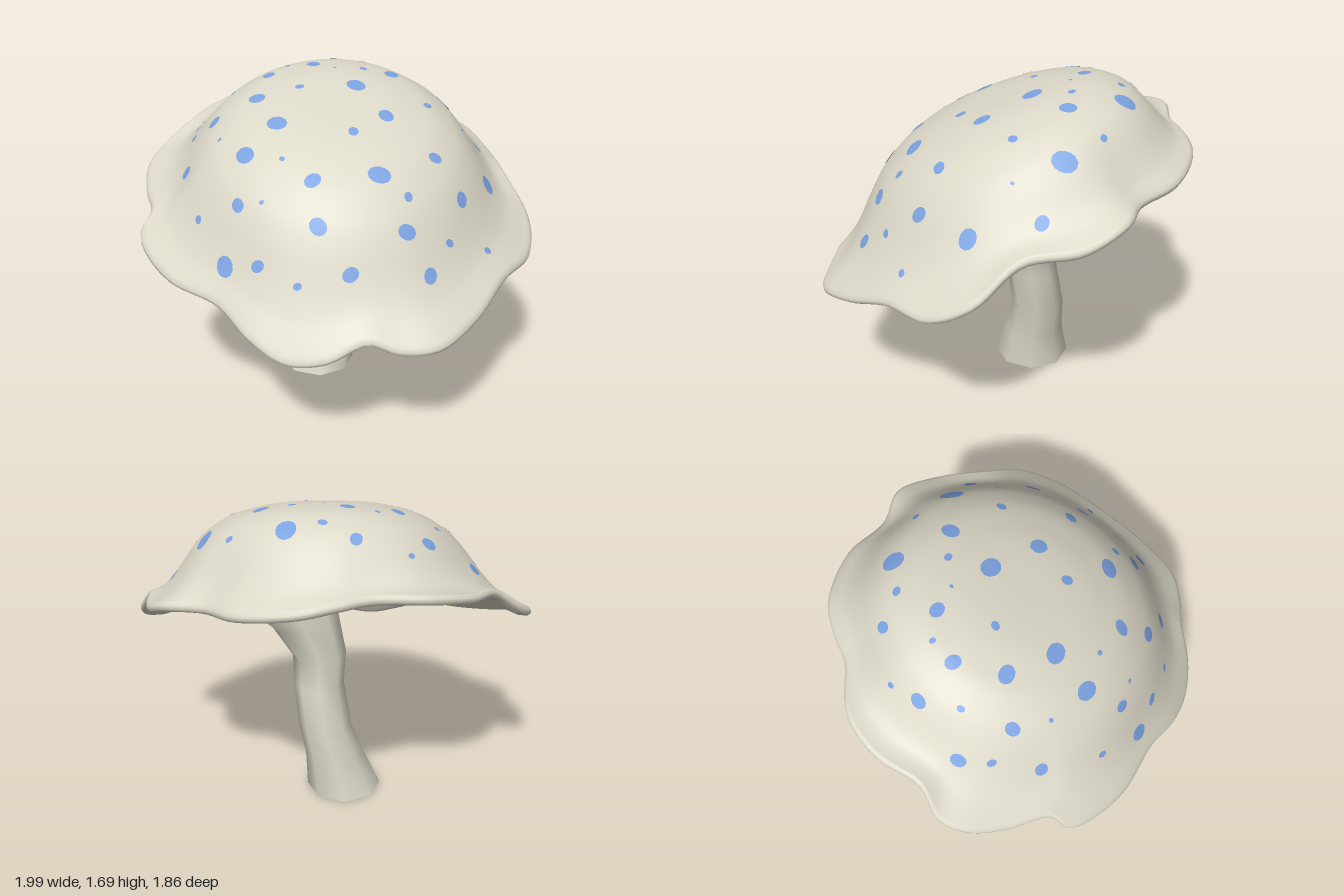
import * as THREE from 'three';

const V = (x, y, z) => new THREE.Vector3(x, y, z);
const cream = new THREE.MeshStandardMaterial({ color: 0xdcd8c8, side: THREE.DoubleSide });
cream.name = 'cream';
const blue = new THREE.MeshStandardMaterial({ color: 0x7ba2e0, side: THREE.DoubleSide });
blue.name = 'spot blue';

// Skin a list of closed rings (arrays of Vector3) with smooth normals
function loft(rings) {
  const n = rings[0].length, idx = [];
  for (let j = 0; j < rings.length - 1; j++)
    for (let i = 0; i < n; i++) {
      const a = j * n + i, b = j * n + (i + 1) % n;
      idx.push(a, b, a + n, b, b + n, a + n);
    }
  const g = new THREE.BufferGeometry().setFromPoints(rings.flat());
  g.setIndex(idx);
  g.computeVertexNormals();
  return g;
}

// Scalloped lower edge of the cap: x, y, z
const RIM = [
  [.98, .74, .12], [.95, .68, .38], [.83, .68, .52], [.715, .72, .6], [.59, .64, .75],
  [.43, .62, .85], [.245, .69, .89], [.03, .79, .88], [-.26, .83, .915], [-.5, .9, .87],
  [-.6, .95, .81], [-.62, 1.02, .72], [-.8, 1.06, .6], [-.94, 1.12, .465], [-.985, 1.18, .335],
  [-.93, 1.29, .185], [-.96, 1.34, -.05], [-.9, 1.38, -.27], [-.715, 1.38, -.455], [-.645, 1.37, -.59],
  [-.53, 1.34, -.74], [-.26, 1.29, -.86], [-.02, 1.26, -.85], [.165, 1.24, -.925], [.38, 1.16, -.865],
  [.595, 1.12, -.7], [.81, .95, -.61], [.925, .85, -.43], [.95, .83, -.16],
];
const CENTRE = V(0, 1.06, 0);
const AXIS = V(.07, 1, .07);
const slope = (x, z) => -.24 * x - .25 * z;

// Dome profile: height above the tilted rim plane against distance from the middle
const DOME = [[0, .53], [.1, .53], [.2, .527], [.32, .515], [.43, .49], [.54, .455], [.64, .395], [.7, .345],
  [.76, .275], [.81, .205], [.86, .14], [.91, .09], [.96, .06], [1, .04]];

function capGeometry() {
  const rim = new THREE.CatmullRomCurve3(RIM.map(p => V(...p)), true).getSpacedPoints(144).slice(0, 144);
  const ring = (t, h, grow = 1) => rim.map(p => {
    const edge = p.clone().sub(CENTRE);
    const k = .93 / Math.hypot(p.x, p.z);
    const round = V(p.x * k, slope(p.x * k, p.z * k), p.z * k);
    return round.lerp(edge, Math.min(1, t ** 6)).multiplyScalar(t * grow).add(CENTRE).addScaledVector(AXIS, h);
  });
  const profile = new THREE.SplineCurve(DOME.map(p => new THREE.Vector2(...p))).getPoints(36);
  const thick = .045;
  const outer = profile.map(p => ring(p.x, p.y));
  const lip = [ring(1.012, .024), ring(1.012, .008), ring(1, -.004)];
  const inner = profile.slice().reverse().map(p => ring(p.x, p.y - thick, .965));
  return loft([...outer, ...lip, ...inner]);
}

// Spots seen from above: x, z, radius
const SPOTS = [
  -.25, -.53, .055, .02, -.635, .02, .245, -.605, .058, .44, -.66, .036, .455, -.485, .01, .67, -.42, .048,
  -.52, -.355, .032, -.36, -.405, .022, .035, -.42, .042, -.085, -.33, .02, .325, -.35, .024, -.32, -.195, .036,
  -.19, -.22, .01, .01, -.155, .05, -.69, -.17, .016, -.44, -.12, .015, -.67, -.02, .038, -.455, .01, .037,
  -.2, .045, .022, .27, -.075, .042, .56, -.095, .034, .71, -.12, .04, .855, -.155, .02, .23, .13, .028,
  .775, .065, .022, .6, .17, .024, .465, .22, .052, .79, .235, .038, .665, .26, .042, -.58, .155, .018,
  -.335, .22, .043, -.74, .26, .038, -.1, .32, .05, -.49, .38, .037, -.65, .385, .023, -.34, .485, .012,
  .065, .46, .014, .255, .455, .04, -.12, .525, .05, -.51, .57, .036, .375, .555, .043, .555, .535, .038,
  -.02, .68, .035, .095, .635, .012, -.24, .74, .022, .175, .755, .032, .005, .805, .05, .375, .7, .02,
];

// Thin patches laid on the outside and inside of the cap
function addSpots(group, cap) {
  cap.updateMatrixWorld(true);
  const ray = new THREE.Raycaster();
  for (let s = 0; s < SPOTS.length; s += 3) {
    const r = SPOTS[s + 2], sides = 12;
    ray.set(V(SPOTS[s], 3, SPOTS[s + 1]), V(0, -1, 0));
    const hit = ray.intersectObject(cap)[0];
    if (!hit) continue;
    const n = hit.face.normal.clone();
    const u = V(1, 0, 0).addScaledVector(n, -n.x).normalize();
    const v = u.clone().cross(n);
    const skins = [[], []];
    for (let i = 0; i <= 2 * sides; i++) {
      const a = i / sides * Math.PI * 2;
      const wobble = 1 + .1 * Math.sin(2 * a + s);
      const d = i === 0 ? 0 : r * wobble * (i <= sides ? .55 : 1);
      const from = hit.point.clone().addScaledVector(n, .12)
        .addScaledVector(u, Math.cos(a) * d).addScaledVector(v, Math.sin(a) * d);
      ray.set(from, n.clone().negate());
      const hits = ray.intersectObject(cap);
      const first = hits[0]?.distance ?? .12;
      const second = hits.find(h => h.distance > first + .008)?.distance ?? first + .04;
      skins[0].push(from.clone().addScaledVector(n, -first + .003));
      skins[1].push(from.clone().addScaledVector(n, -second - .003));
    }
    skins.forEach((pts, k) => {
      const idx = [];
      const tri = (a, b, c) => k ? idx.push(a, b, c) : idx.push(a, c, b);
      for (let i = 0; i < sides; i++) {
        const a = 1 + i, b = 1 + (i + 1) % sides;
        tri(0, a, b);
        tri(a, a + sides, b);
        tri(b, a + sides, b + sides);
      }
      const g = new THREE.BufferGeometry().setFromPoints(pts);
      // choose the winding that faces away from the cap shell
      const [p, q, w] = idx.slice(0, 3).map(i => pts[i]);
      const facing = q.clone().sub(p).cross(w.clone().sub(p)).dot(n) * (k ? -1 : 1);
      g.setIndex(facing < 0 ? idx.reverse() : idx);
      g.computeVertexNormals();
      const m = new THREE.Mesh(g, blue);
      m.name = k ? 'innerSpot' : 'outerSpot';
      group.add(m);
    });
  }
}

// Bent hollow stem, from the flared top down: x, y, z, radius, tilt
const STEM = [
  [.24, 1.27, -.21, .25, 1], [.13, 1.15, -.17, .215, .8], [.04, 1, -.13, .172, .45], [-.03, .8, -.09, .142, .1],
  [-.045, .64, -.11, .134, 0], [-.09, .4, -.11, .142, 0], [-.115, .2, -.055, .162, 0], [-.145, 0, -.015, .203, 0],
];

export function createModel() {
  const model = new THREE.Group();
  model.name = 'mushroom';

  const cap = new THREE.Mesh(capGeometry(), cream);
  cap.name = 'cap';
  model.add(cap);

  const spots = new THREE.Group();
  spots.name = 'spots';
  addSpots(spots, cap);
  model.add(spots);

  const rings = STEM.map(([x, y, z, r, tilt]) => Array.from({ length: 8 }, (_, i) => {
    const dx = r * Math.cos(i * Math.PI / 4), dz = r * Math.sin(i * Math.PI / 4);
    return V(x + dx, y + tilt * .5 * (dz - dx), z + dz);
  }));
  const stem = new THREE.Mesh(loft(rings), cream);
  stem.name = 'stem';
  model.add(stem);
  return model;
}
